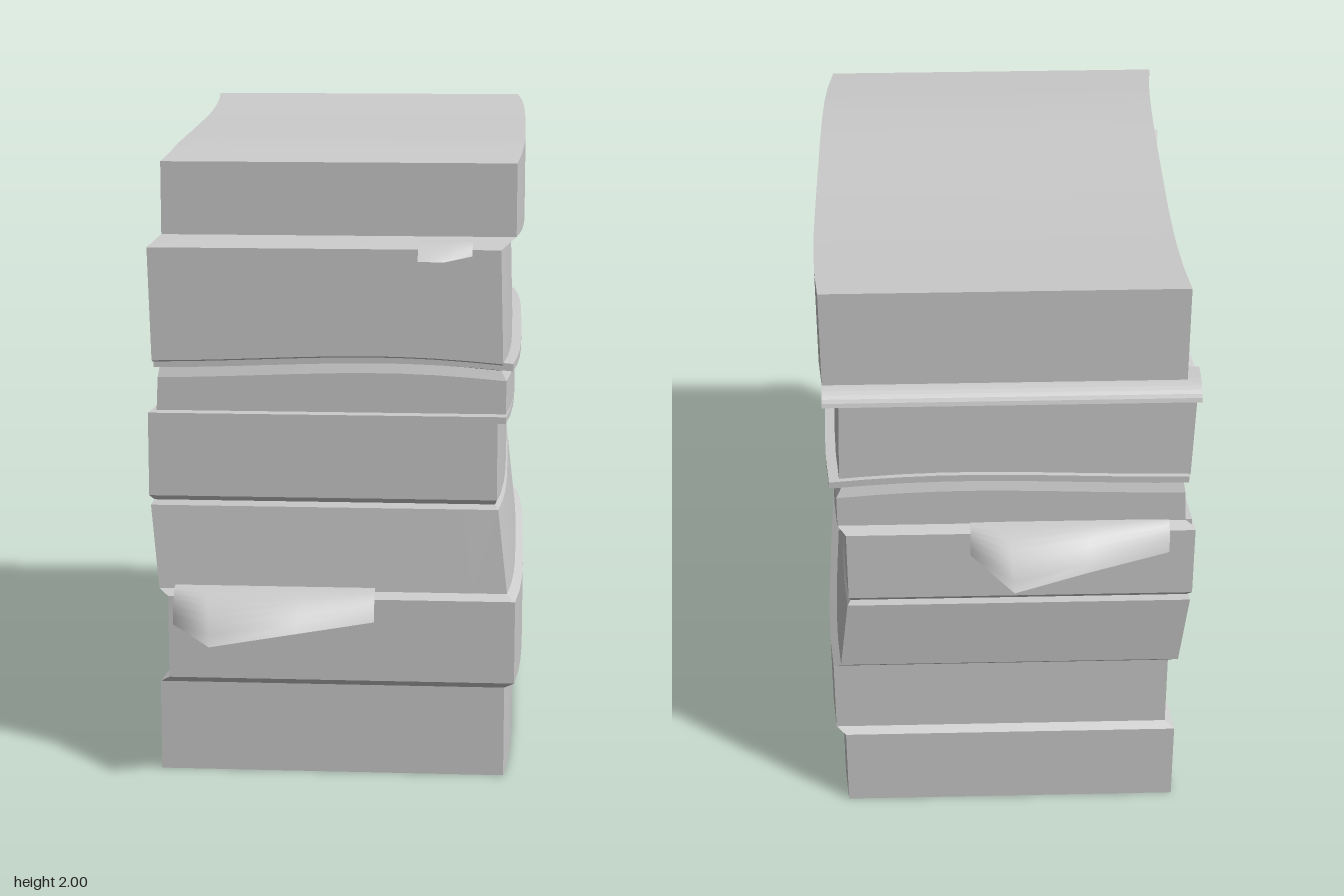
import * as THREE from 'three';

const paper = new THREE.MeshStandardMaterial({ color: 0xcccccc, side: THREE.DoubleSide });

// Outline levels: y, x left, x right, z back, z front, wave height
const levels = [
  [0, -0.55, 0.52, -0.78, 0.75, 0],
  [0.285, -0.55, 0.52, -0.78, 0.75, 0],
  [0.305, -0.52, 0.55, -0.76, 0.77, 0],
  [0.565, -0.52, 0.55, -0.76, 0.77, 0],
  [0.585, -0.55, 0.525, -0.78, 0.75, 0],
  [0.845, -0.575, 0.495, -0.80, 0.73, 0],
  [0.86, -0.565, 0.485, -0.79, 0.72, 0],
  [0.875, -0.58, 0.49, -0.80, 0.73, 0],
  [1.12, -0.58, 0.49, -0.80, 0.73, 0],
  [1.145, -0.55, 0.515, -0.78, 0.75, 0],
  [1.25, -0.545, 0.515, -0.78, 0.75, 0.02],
  [1.28, -0.54, 0.50, -0.77, 0.74, 0.02],
  [1.305, -0.56, 0.505, -0.76, 0.77, 0.02],
  [1.65, -0.57, 0.495, -0.76, 0.77, 0],
  [1.685, -0.53, 0.54, -0.81, 0.73, 0],
];

const lerp = THREE.MathUtils.lerp;

// A stack between two outlines; its long sides bow towards +x in the middle
function slab(name, low, high, topHeight) {
  const geo = new THREE.BoxGeometry(1, 1, 1, 10, 1, 12);
  const p = geo.attributes.position;
  for (let i = 0; i < p.count; i++) {
    const u = p.getX(i) + 0.5, w = p.getZ(i) + 0.5;
    const isTop = p.getY(i) > 0;
    const [y, x0, x1, z0, z1, wave] = isTop ? high : low;
    const z = lerp(z0, z1, w);
    const bow = 0.025 * (1 - Math.pow(Math.abs(2 * w - 1), 4));
    const base = isTop && topHeight ? topHeight(z) : y;
    p.setXYZ(i, lerp(x0, x1, u) + bow, base + wave * Math.sin(Math.PI * Math.pow(u, 1.5)), z);
  }
  geo.computeVertexNormals();
  const mesh = new THREE.Mesh(geo, paper);
  mesh.name = name;
  return mesh;
}

// A drooping paper corner: columns of [root x, tip x, tip y, tip z]
function flap(name, rootY, rootZ, columns, level) {
  const steps = 8, across = columns.length - 1;
  const geo = new THREE.PlaneGeometry(1, 1, across, steps);
  const p = geo.attributes.position;
  for (let r = 0; r <= steps; r++) {
    columns.forEach(([rx, tx, ty, tz], c) => {
      const curve = new THREE.QuadraticBezierCurve3(
        new THREE.Vector3(rx, rootY, rootZ),
        new THREE.Vector3(lerp(rx, tx, level), rootY, lerp(rootZ, tz, level)),
        new THREE.Vector3(tx, ty, tz));
      const v = curve.getPoint(r / steps);
      p.setXYZ(r * columns.length + c, v.x, v.y, v.z);
    });
  }
  geo.computeVertexNormals();
  const mesh = new THREE.Mesh(geo, paper);
  mesh.name = name;
  return mesh;
}

// Sloping height of the uppermost stack along its depth
function topHeight(z) {
  const profile = [[-0.81, 2], [-0.3, 1.965], [0.45, 1.94], [0.73, 1.905]];
  for (let i = 1; i < profile.length; i++) {
    const [a, ya] = profile[i - 1], [b, yb] = profile[i];
    if (z <= b + 1e-6) return lerp(ya, yb, (z - a) / (b - a));
  }
  return 1.905;
}

export function createModel() {
  const group = new THREE.Group();
  group.name = 'paperStack';

  // Stacks and the narrow slanted joints between them
  for (let i = 1; i < levels.length; i++) {
    const thin = levels[i][0] - levels[i - 1][0] < 0.05;
    group.add(slab(thin ? 'joint' : 'paperBundle', levels[i - 1], levels[i]));
  }
  group.add(slab('topBundle', levels[levels.length - 1], [2, -0.53, 0.54, -0.81, 0.73, 0], topHeight));

  // Loose sheets poking out between the stacks
  group.add(slab('wavySheet', [1.283, -0.555, 0.535, -0.775, 0.765, 0.02],
    [1.306, -0.555, 0.535, -0.775, 0.765, 0.02]));
  group.add(slab('frontSheet', [1.128, -0.57, 0.515, -0.78, 0.795, 0],
    [1.148, -0.57, 0.515, -0.78, 0.795, 0]));

  // Curled sheet edge along the back
  const s = new THREE.Shape();
  s.moveTo(0.74, 1.66);
  s.lineTo(0.80, 1.663);
  s.quadraticCurveTo(0.835, 1.66, 0.85, 1.635);
  s.lineTo(0.868, 1.645);
  s.quadraticCurveTo(0.86, 1.685, 0.80, 1.687);
  s.lineTo(0.74, 1.685);
  const curlGeo = new THREE.ExtrudeGeometry(s, { depth: 1.11, bevelEnabled: false, curveSegments: 6 });
  curlGeo.rotateY(Math.PI / 2).translate(-0.57, 0, 0);
  const curl = new THREE.Mesh(curlGeo, paper);
  curl.name = 'backCurl';
  group.add(curl);

  // Drooping corners at the front and back
  group.add(flap('frontFlap', 0.597, 0.75, [
    [-0.5, -0.5, 0.49, 0.82], [-0.4, -0.37, 0.465, 0.975],
    [-0.1, -0.12, 0.488, 0.9], [0.12, 0.12, 0.51, 0.83]], 0.6));
  group.add(flap('backFlap', 1.15, -0.77, [
    [0.11, 0.11, 1.06, -0.83], [0.0, -0.02, 1.03, -0.98],
    [-0.25, -0.25, 1.045, -0.905], [-0.5, -0.5, 1.06, -0.83]], 0.6));
  group.add(flap('smallFlap', 1.675, 0.74, [
    [0.25, 0.25, 1.63, 0.895], [0.33, 0.33, 1.63, 0.895], [0.41, 0.41, 1.635, 0.80]], 0.6));

  return group;
}
